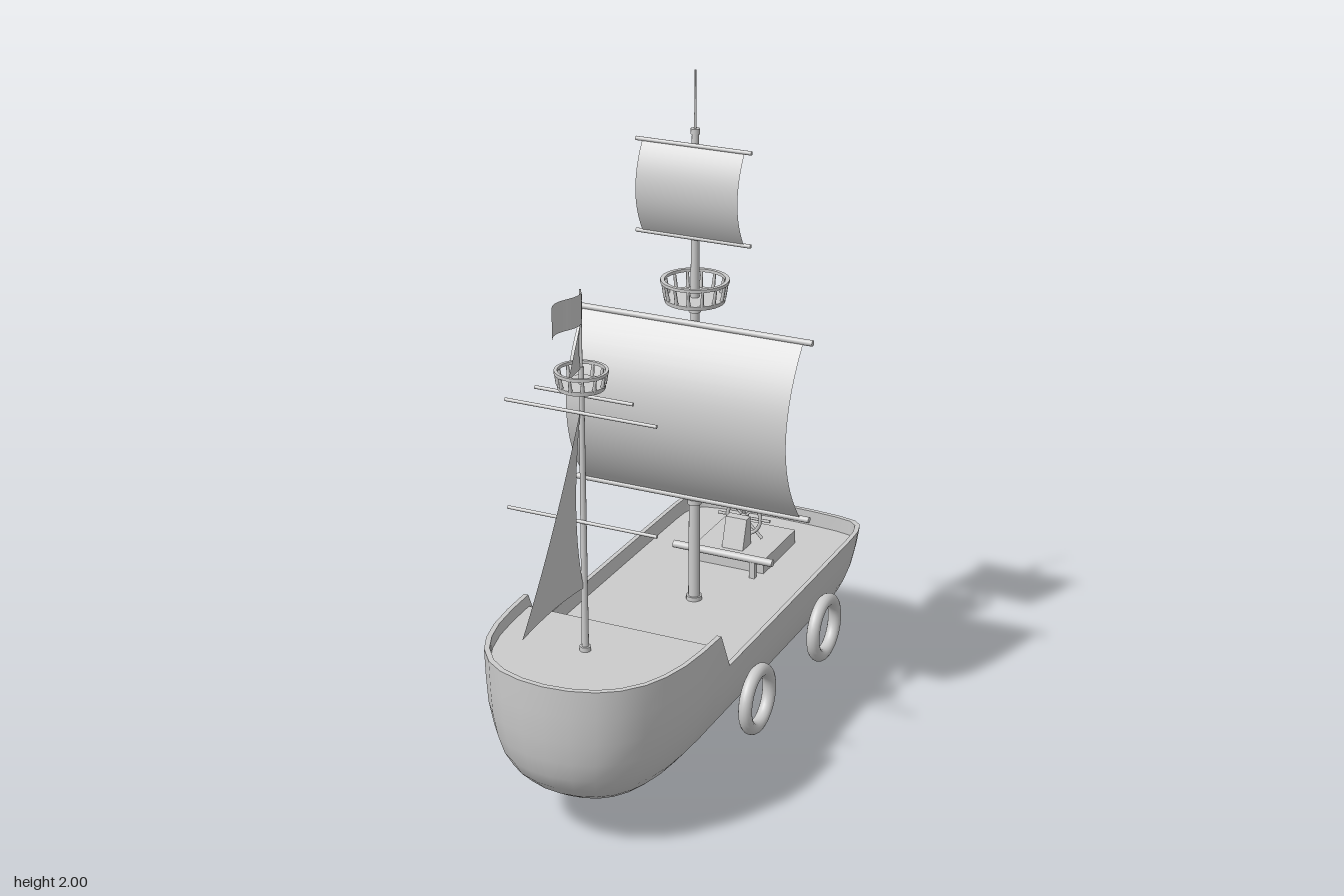
import * as THREE from 'three';
import { toCreasedNormals } from 'three/addons/utils/BufferGeometryUtils.js';

const solid = new THREE.MeshStandardMaterial({ color: 0xcccccc });
const thin = new THREE.MeshStandardMaterial({ color: 0xcccccc, side: THREE.DoubleSide });

function add(parent, name, geo, x = 0, y = 0, z = 0, mat = solid) {
  const m = new THREE.Mesh(geo, mat);
  m.name = name;
  m.position.set(x, y, z);
  parent.add(m);
  return m;
}

// Round bar between two points
function rod(parent, name, a, b, r0, r1 = r0, sides = 10) {
  const p = new THREE.Vector3(...a), q = new THREE.Vector3(...b);
  const m = add(parent, name, new THREE.CylinderGeometry(r1, r0, p.distanceTo(q), sides));
  m.position.copy(p).add(q).multiplyScalar(0.5);
  m.quaternion.setFromUnitVectors(new THREE.Vector3(0, 1, 0), q.sub(p).normalize());
  return m;
}

// Linear lookup in a list of [key, value] pairs
function lookup(table, k) {
  if (k <= table[0][0]) return table[0][1];
  for (let i = 1; i < table.length; i++) {
    const [k0, v0] = table[i - 1], [k1, v1] = table[i];
    if (k <= k1) return v0 + (v1 - v0) * (k - k0) / (k1 - k0);
  }
  return table[table.length - 1][1];
}

// Hull, bulwark and stepped deck lofted as one skin from closed rings
function hullGeometry() {
  const half = [[0, -.762], [.12, -.758], [.21, -.75], [.265, -.738], [.291, -.714], [.304, -.665], [.307, -.6],
    [.309, -.3], [.31, 0], [.31, .317], [.31, .375], [.306, .48], [.296, .575], [.276, .655], [.247, .72],
    [.2, .778], [.145, .815], [.075, .838], [0, .846]];
  const outline = [...half, ...half.slice(1, -1).reverse().map(([x, z]) => [-x, z])];
  const rim = z => lookup([[.317, .428], [.375, .546]], z);
  const deck = z => lookup([[.317, .38], [.375, .51]], z);
  const width = [[.078, 0], [.084, .21], [.1, .38], [.12, .49], [.15, .62], [.2, .77], [.28, .9], [.36, .965], [.43, .985], [.54, 1]];
  const bow = [[.078, .14], [.09, .42], [.12, .61], [.16, .77], [.23, .92], [.35, .985], [.5, 1]];
  const stern = [[.078, .55], [.1, .74], [.13, .87], [.23, .97], [.4, 1]];
  const stretch = (z, kb, ks) => z > .4 ? .4 + (z - .4) * kb : z < -.6 ? -.6 + (z + .6) * ks : z;
  const rings = [];
  for (const v of [0, .015, .04, .08, .13, .2, .28, .38, .5, .65, .82, 1])
    rings.push(outline.map(([x, z]) => {
      const y = .078 + (rim(z) - .078) * v;
      const w = v === 1 ? 1 : lookup(width, y);
      return [x * w, y, stretch(z, v === 1 ? 1 : lookup(bow, y), v === 1 ? 1 : lookup(stern, y))];
    }));
  const inner = (k, level) => outline.map(([x, z]) => [x * k, level(z), stretch(z, .965, .91)]);
  rings.push(inner(.955, rim), inner(.95, deck), inner(0, deck));
  const pos = rings.flat(2), index = [], n = outline.length;
  for (let r = 0; r < rings.length - 1; r++)
    for (let i = 0; i < n; i++) {
      const a = r * n + i, b = r * n + (i + 1) % n;
      index.push(a, a + n, b, b, a + n, b + n);
    }
  const g = new THREE.BufferGeometry();
  g.setAttribute('position', new THREE.Float32BufferAttribute(pos, 3));
  g.setIndex(index);
  return toCreasedNormals(g, .65);
}

// Square sail bulging forward between two yards
function squareSail(parent, name, halfW, y0, y1, z, bulge, yardHalf, r) {
  const g = new THREE.PlaneGeometry(halfW * 2, y1 - y0, 1, 20);
  const p = g.attributes.position;
  for (let i = 0; i < p.count; i++) {
    const t = p.getY(i) / (y1 - y0) * 2;
    p.setZ(i, bulge * (1 - t * t));
  }
  g.computeVertexNormals();
  add(parent, name, g, 0, (y0 + y1) / 2, z, thin);
  for (const y of [y0, y1]) rod(parent, name + 'Yard', [-yardHalf, y, z], [yardHalf, y, z], r);
}

// Lookout basket: floor, balusters and hand rail
function lookout(parent, name, x, y, z, r, h, count) {
  const g = new THREE.Group();
  g.name = name;
  g.position.set(x, y, z);
  parent.add(g);
  add(g, 'floor', new THREE.CylinderGeometry(r * .9, r * .88, .012, 28), 0, .006, 0);
  const rail = new THREE.LatheGeometry([[.88, h - .009], [1, h - .009], [1, h], [.88, h], [.88, h - .009]]
    .map(([k, v]) => new THREE.Vector2(k * r, v)), 32);
  add(g, 'rail', toCreasedNormals(rail, .6));
  for (let i = 0; i < count; i++) {
    const a = i / count * Math.PI * 2, c = Math.cos(a), s = Math.sin(a);
    rod(g, 'baluster', [c * r * .85, .01, s * r * .85], [c * r * .94, h - .006, s * r * .94], .0055, .004, 6);
  }
}

// Flat cloth in the fore-and-aft plane; shape coordinates are (z, y)
function cloth(parent, name, shape, x) {
  const g = new THREE.ShapeGeometry(shape, 16);
  g.rotateY(-Math.PI / 2);
  return add(parent, name, g, x, 0, 0, thin);
}

export function createModel() {
  const ship = new THREE.Group();
  ship.name = 'sailingShip';
  add(ship, 'hull', hullGeometry());

  // Ring fenders on both sides
  for (const side of [-1, 1])
    for (const z of [.162, -.338])
      add(ship, 'fender', new THREE.TorusGeometry(.086, .02, 14, 36), side * .328, .251, z).rotation.y = Math.PI / 2;

  // Rudder, drawn in (z, y)
  const blade = new THREE.Shape([[-.735, .25], [-.742, .005], [-.885, 0], [-.885, .135], [-.868, .158], [-.83, .185],
    [-.822, .235], [-.808, .248]].map(p => new THREE.Vector2(...p)));
  const rudder = new THREE.ExtrudeGeometry(blade, { depth: .024, bevelEnabled: false });
  rudder.rotateY(-Math.PI / 2);
  add(ship, 'rudder', rudder, .007, 0, 0);

  // Main mast with collars and top pole
  const mz = -.111;
  rod(ship, 'mainMast', [0, .375, mz], [0, 1.83, mz], .018, .01, 16);
  rod(ship, 'mainMastPole', [0, 1.82, mz], [0, 2, mz], .004, .0025, 8);
  for (const [y, r] of [[.385, .024], [.7, .021], [1.3, .018], [1.825, .013]])
    add(ship, 'mastCollar', new THREE.CylinderGeometry(r, r, .016, 16), 0, y, mz);
  squareSail(ship, 'mainSail', .347, .72, 1.263, -.088, .117, .375, .009);
  squareSail(ship, 'topSail', .157, 1.517, 1.787, -.097, .047, .178, .006);
  lookout(ship, 'mainLookout', 0, 1.325, mz, .099, .066, 14);

  // Fore mast with bare yards
  const fx = -.025, fz = .546;
  rod(ship, 'foreMast', [fx, .505, fz], [fx, 1.35, fz], .01, .007, 12);
  rod(ship, 'foreMastPole', [fx, 1.34, fz], [fx, 1.567, fz], .004, .003, 8);
  add(ship, 'foreMastFoot', new THREE.CylinderGeometry(.016, .016, .015, 14), fx, .516, fz);
  for (const [y, h, z] of [[.904, .227, .557], [1.222, .227, .557], [1.263, .147, .534]])
    rod(ship, 'foreYard', [fx - h, y, z], [fx + h, y, z], .005);
  lookout(ship, 'foreLookout', fx, 1.29, fz, .073, .052, 12);

  // Triangular fore sail with hollow edges, swung slightly off the centre line
  const jib = new THREE.Shape();
  jib.moveTo(.553, 1.232);
  jib.quadraticCurveTo(.71, .92, .89, .697);
  jib.quadraticCurveTo(.72, .722, .55, .702);
  jib.quadraticCurveTo(.62, .93, .553, 1.232);
  cloth(ship, 'foreSail', jib, fx + .011).rotation.y = -.02;
  const pennant = new THREE.Shape();
  pennant.moveTo(.548, 1.472);
  pennant.quadraticCurveTo(.59, 1.39, .62, 1.335);
  pennant.lineTo(.55, 1.345);
  pennant.quadraticCurveTo(.565, 1.41, .548, 1.472);
  cloth(ship, 'smallSail', pennant, fx);

  // Waving flag
  const flag = new THREE.PlaneGeometry(.168, .086, 16, 1);
  flag.rotateY(-Math.PI / 2);
  const fp = flag.attributes.position;
  for (let i = 0; i < fp.count; i++) {
    const t = fp.getZ(i) / .168 + .5;
    fp.setX(i, .013 * Math.sin(t * Math.PI * 2));
  }
  flag.computeVertexNormals();
  add(ship, 'flag', flag, fx + .005, 1.524, fz + .084, thin);

  // Steering platform, stand and wheel
  add(ship, 'platform', new THREE.BoxGeometry(.24, .05, .245), 0, .4, -.476);
  const side = new THREE.Shape([[-.45, .42], [-.385, .42], [-.415, .518], [-.445, .518]].map(p => new THREE.Vector2(...p)));
  const stand = new THREE.ExtrudeGeometry(side, { depth: .07, bevelEnabled: false });
  stand.rotateY(-Math.PI / 2);
  add(ship, 'wheelStand', stand, .035, 0, 0);
  const wheel = new THREE.Group();
  wheel.name = 'steeringWheel';
  wheel.position.set(0, .498, -.474);
  ship.add(wheel);
  add(wheel, 'wheelRim', new THREE.TorusGeometry(.055, .006, 8, 28));
  rod(wheel, 'hub', [0, 0, -.01], [0, 0, .03], .013);
  for (let i = 0; i < 8; i++) {
    const a = i * Math.PI / 4;
    rod(wheel, 'spoke', [0, 0, 0], [Math.cos(a) * .087, Math.sin(a) * .087, 0], .004, .005, 6);
  }

  // Rail in front of the helm
  rod(ship, 'helmRail', [-.165, .44, -.318], [.165, .44, -.318], .012);
  for (const x of [-.1, .1]) add(ship, 'helmRailPost', new THREE.BoxGeometry(.018, .065, .018), x, .406, -.318);
  return ship;
}
